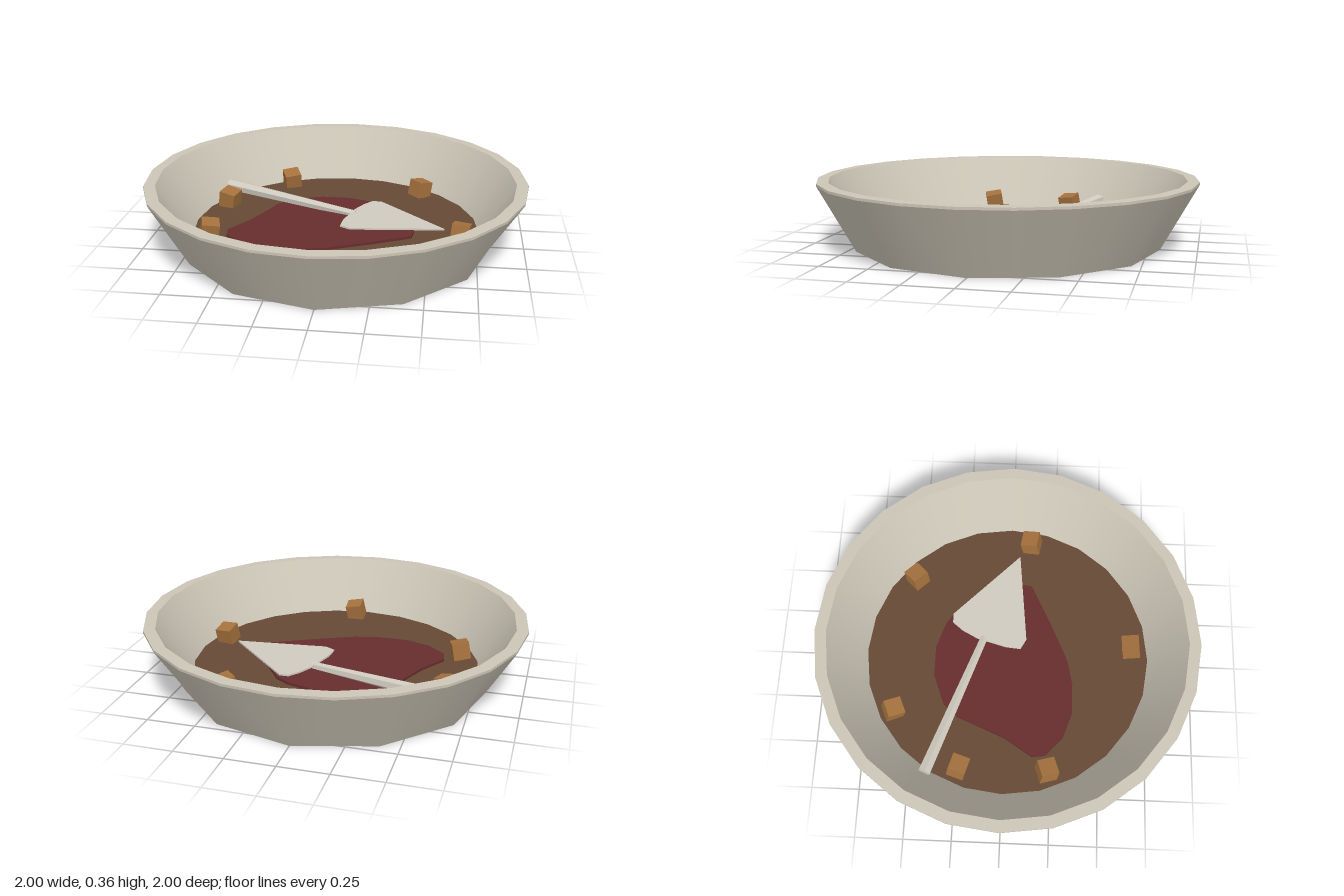
import * as THREE from 'three';
import { mergeGeometries } from 'three/addons/utils/BufferGeometryUtils.js';

function material(name, color) {
  const m = new THREE.MeshStandardMaterial({ color });
  m.name = name;
  return m;
}

function mesh(name, geometry, mat, parent) {
  const m = new THREE.Mesh(geometry, mat);
  m.name = name;
  parent.add(m);
  return m;
}

// Thin horizontal plate from an x, z outline, its upper face at height top
function plate(outline, top, thickness) {
  const shape = new THREE.Shape(outline.map(([x, z]) => new THREE.Vector2(x, z)));
  const g = new THREE.ExtrudeGeometry(shape, { depth: thickness, bevelEnabled: false });
  g.rotateX(Math.PI / 2);
  g.translate(0, top, 0);
  return g;
}

// Bowl skin made of separate bands so the edges between them stay crisp
function bowlGeometry() {
  const profile = [[0, 0], [0.81, 0], [1, 0.345], [1, 0.358], [0.94, 0.36], [0.748, 0.06]];
  const bands = [];
  for (let i = 0; i < profile.length - 1; i++) {
    const pts = [profile[i], profile[i + 1]].map(([r, y]) => new THREE.Vector2(r, y));
    const g = new THREE.LatheGeometry(pts, 24);
    // The foot has half as many corners as the rim
    const p = g.attributes.position;
    const s = Math.cos(Math.PI / 12);
    for (let v = 0; v < p.count; v++) {
      if (Math.floor(v / 2) % 2 === 1 && p.getY(v) === 0) p.setXYZ(v, p.getX(v) * s, 0, p.getZ(v) * s);
    }
    bands.push(g);
  }
  return mergeGeometries(bands);
}

export function createModel() {
  const model = new THREE.Group();
  model.name = 'bowlOfStew';

  const ceramic = material('paleCeramic', 0xcbc5b6);
  const broth = material('brownBroth', 0x644935);
  const sauce = material('darkRedSauce', 0x672c2d);
  const metal = material('paleMetal', 0xcfcabf);
  const crust = material('toastedCrust', 0xa5713d);

  mesh('bowl', bowlGeometry(), ceramic, model);

  // Filling surface
  const surface = new THREE.CircleGeometry(0.762, 24);
  surface.rotateX(-Math.PI / 2);
  surface.translate(0, 0.08, 0);
  mesh('filling', surface, broth, model);

  // Irregular pool of sauce
  const pool = [
    [-0.56, 0.15], [-0.55, 0.22], [-0.45, 0.31], [-0.32, 0.355], [-0.155, 0.355], [-0.02, 0.325],
    [0.19, 0.23], [0.41, 0.12], [0.42, 0.05], [0.34, -0.15], [0.235, -0.3], [0.165, -0.345],
    [0.03, -0.39], [-0.13, -0.39], [-0.29, -0.33], [-0.36, -0.25], [-0.41, -0.13], [-0.465, 0],
  ];
  mesh('saucePool', plate(pool, 0.094, 0.016), sauce, model);

  // Pointed server: flat blade and tapered handle
  const server = new THREE.Group();
  server.name = 'server';
  model.add(server);
  const blade = [
    [0.17, -0.305], [0.22, -0.305], [0.58, 0.05], [0.085, 0.1],
    [0.03, 0.07], [0.037, -0.01], [0.08, -0.165], [0.125, -0.25],
  ];
  mesh('serverBlade', plate(blade, 0.114, 0.009), metal, server);

  const from = new THREE.Vector3(0.09, 0.1, -0.131);
  const to = new THREE.Vector3(-0.675, 0.14, -0.402);
  const along = to.clone().sub(from);
  const handle = mesh('serverHandle', new THREE.CylinderGeometry(0.035, 0.022, along.length(), 6).toNonIndexed(), metal, server);
  handle.geometry.computeVertexNormals();
  handle.position.copy(from).lerp(to, 0.5);
  handle.quaternion.setFromUnitVectors(new THREE.Vector3(0, 1, 0), along.normalize());

  // Tumbled cubes around the edge: x, z, tilt x, yaw, tilt z
  const cubes = [
    [-0.34, -0.59, 0.25, 0.4, 0],
    [0.43, -0.52, -0.1, 0.78, -0.15],
    [-0.635, -0.23, 0.15, -0.3, -0.15],
    [-0.635, 0.23, 0.1, 0.3, -0.2],
    [0.665, 0.11, -0.2, -0.15, -0.1],
    [0.06, 0.667, -0.18, 0.05, -0.18],
  ];
  const cubeGeometry = new THREE.BoxGeometry(0.092, 0.092, 0.092);
  cubes.forEach(([x, z, rx, ry, rz], i) => {
    const cube = mesh('crustCube' + (i + 1), cubeGeometry, crust, model);
    cube.position.set(x, 0.125, z);
    cube.rotation.set(rx, ry, rz, 'XZY');
  });

  return model;
}
